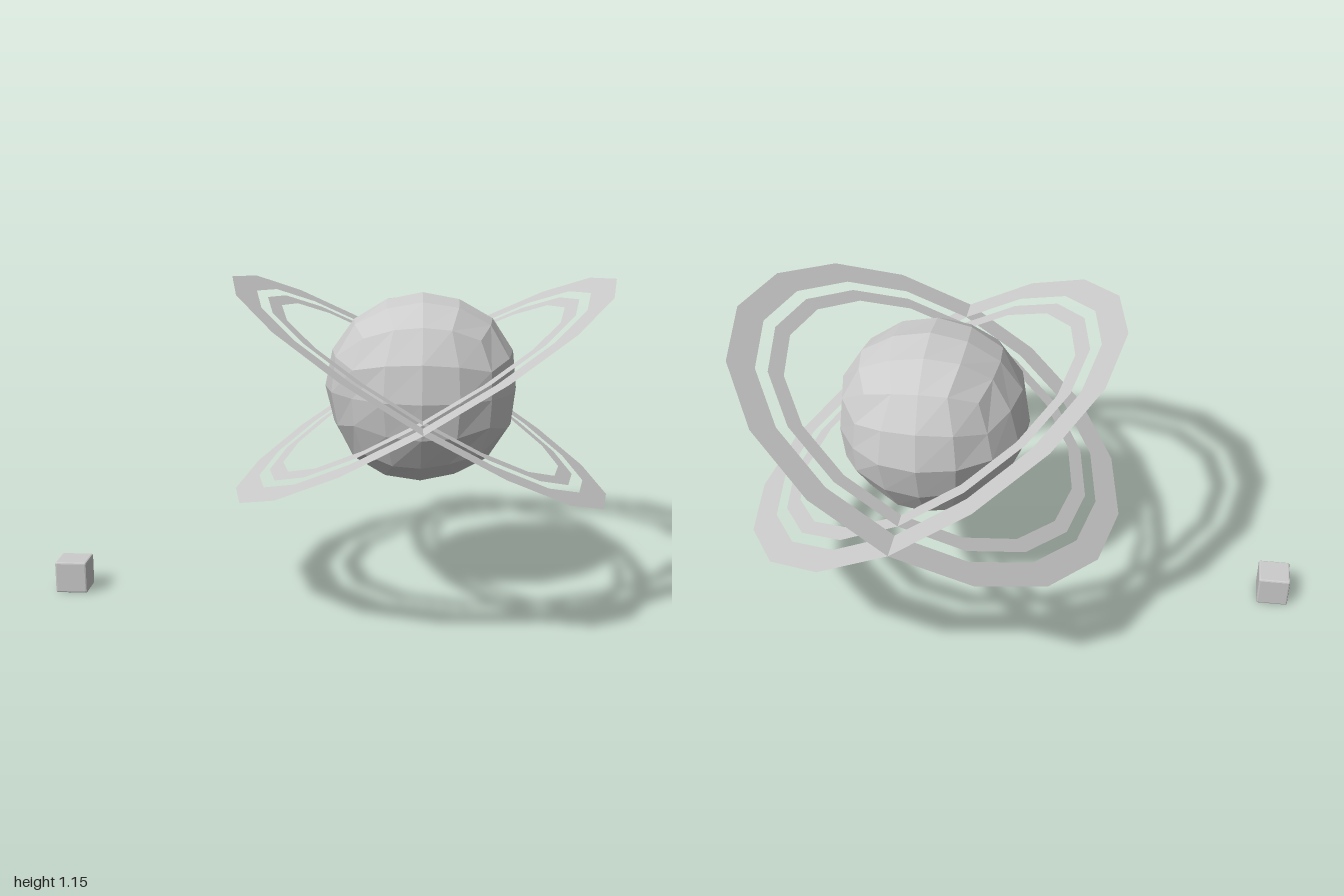
import * as THREE from 'three';
import { RoundedBoxGeometry } from 'three/addons/geometries/RoundedBoxGeometry.js';
import { mergeVertices } from 'three/addons/utils/BufferGeometryUtils.js';

const flat = new THREE.MeshStandardMaterial({ color: 0xcccccc, flatShading: true });
const thin = new THREE.MeshStandardMaterial({ color: 0xcccccc, flatShading: true, side: THREE.DoubleSide });

// Cube grid with equal angular steps, blown up to a slightly uneven ball
function rockGeometry(radius) {
  let g = new THREE.BoxGeometry(2, 2, 2, 4, 4, 4);
  g.deleteAttribute('uv');
  g.deleteAttribute('normal');
  g = mergeVertices(g);
  const p = g.attributes.position;
  const v = new THREE.Vector3();
  const warp = (t) => Math.tan((t * Math.PI) / 4);
  for (let i = 0; i < p.count; i++) {
    v.fromBufferAttribute(p, i);
    v.set(warp(v.x), warp(v.y), warp(v.z)).normalize();
    const bump = 0.02 * Math.sin(i * 12.9898);
    v.multiplyScalar(radius * (1 + bump));
    p.setXYZ(i, v.x, v.y, v.z);
  }
  g.computeVertexNormals();
  return g;
}

export function createModel() {
  const model = new THREE.Group();
  const planet = new THREE.Group();
  planet.name = 'ringedPlanet';
  planet.position.set(0.328, 0.768, 0);
  model.add(planet);

  const globe = new THREE.Mesh(rockGeometry(0.342), flat);
  globe.name = 'globe';
  planet.add(globe);

  // Two crossing ring systems, each with a wide outer and a narrow inner band
  const bands = [['outerBand', 0.675, 0.775], ['innerBand', 0.573, 0.63]];
  for (const side of [1, -1]) {
    const rings = new THREE.Group();
    rings.name = side > 0 ? 'ringsRisingLeft' : 'ringsRisingRight';
    rings.rotation.z = (side * Math.PI) / 6;
    for (const [name, inner, outer] of bands) {
      const band = new THREE.Mesh(new THREE.RingGeometry(inner, outer, 16, 1), thin);
      band.name = name;
      band.rotation.x = -Math.PI / 2;
      rings.add(band);
    }
    planet.add(rings);
  }

  // Small moon block with softened edges
  const moon = new THREE.Mesh(new RoundedBoxGeometry(0.116, 0.116, 0.116, 1, 0.006), flat);
  moon.name = 'moonBlock';
  moon.position.set(-0.942, 0.06, 0.057);
  model.add(moon);
  return model;
}
